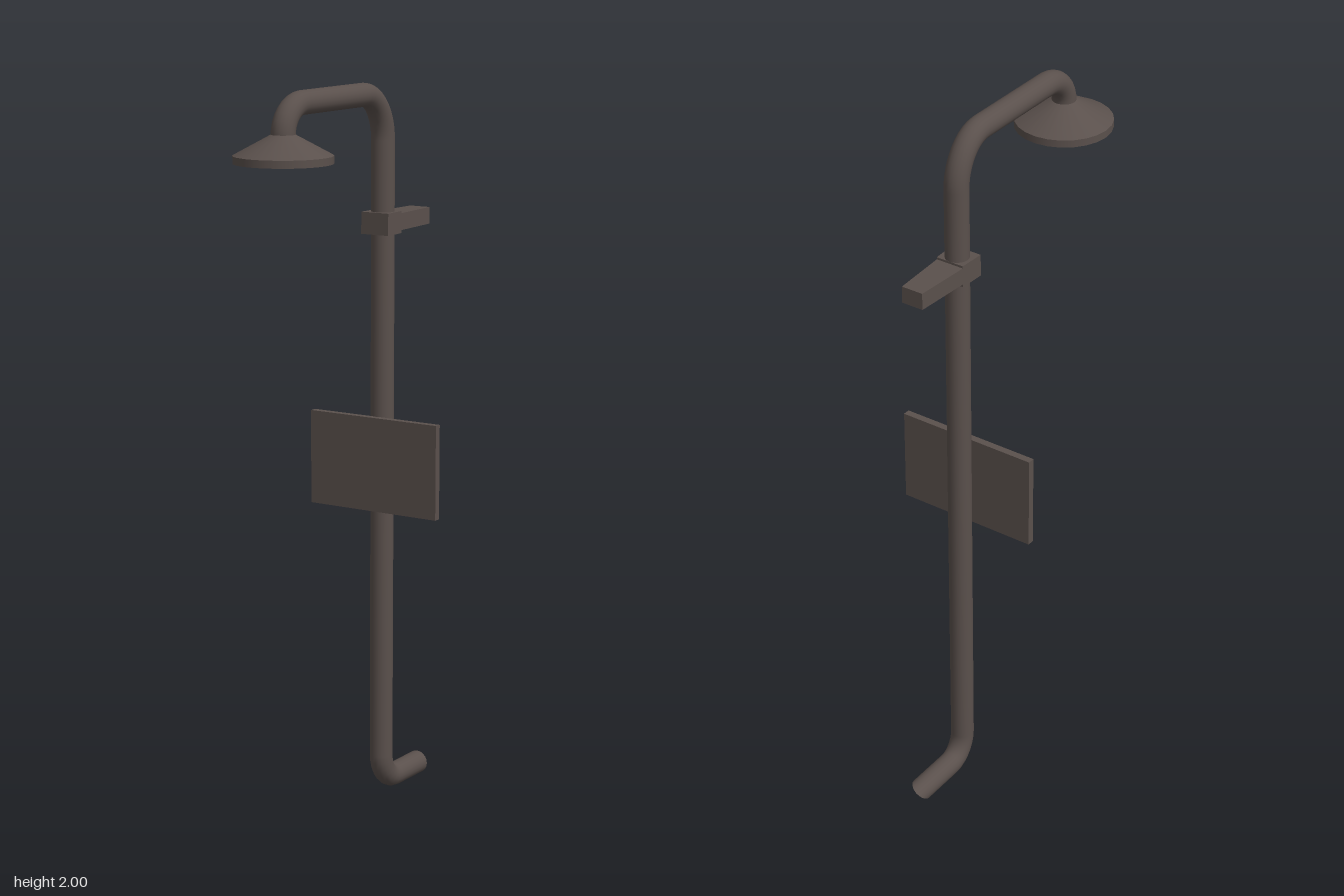
import * as THREE from 'three';

export function createModel() {
  const group = new THREE.Group();
  const bronze = new THREE.MeshStandardMaterial({ color: 0x5a504c });
  bronze.name = 'dark bronze';
  bronze.side = THREE.DoubleSide; // the pipe is open at its lower end

  const add = (name, geometry, x = 0, y = 0, z = 0) => {
    const mesh = new THREE.Mesh(geometry, bronze);
    mesh.name = name;
    mesh.position.set(x, y, z);
    group.add(mesh);
    return mesh;
  };

  // Riser pipe: wall inlet, column, top arm and drop to the head, as [y, z] points
  const p = (y, z) => new THREE.Vector3(0, y, z);
  const path = new THREE.CurvePath();
  const line = (a, b) => path.add(new THREE.LineCurve3(p(...a), p(...b)));
  const bend = (a, corner, b) => {
    const from = p(...a), c = p(...corner), to = p(...b);
    path.add(new THREE.CubicBezierCurve3(
      from, from.clone().lerp(c, 0.55), to.clone().lerp(c, 0.55), to));
  };
  line([0.036, -0.4], [0.036, -0.27]);
  bend([0.036, -0.27], [0.036, -0.204], [0.115, -0.204]);
  line([0.115, -0.204], [1.84, -0.204]);
  bend([1.84, -0.204], [1.968, -0.204], [1.968, -0.1]);
  line([1.968, -0.1], [1.968, 0.185]);
  bend([1.968, 0.185], [1.968, 0.27], [1.89, 0.27]);
  line([1.89, 0.27], [1.87, 0.27]);
  add('pipe', new THREE.TubeGeometry(path, 160, 0.032, 20, false));

  // Shower head: cone on a thin rim with a flat underside
  const headPart = (name, top, bottom, y0, y1, open) => add(name,
    new THREE.CylinderGeometry(top, bottom, y1 - y0, 24, 1, open), 0, (y0 + y1) / 2, 0.27);
  headPart('showerHeadCone', 0.032, 0.13, 1.84, 1.893, true);
  headPart('showerHeadRim', 0.13, 0.13, 1.82, 1.84, false);

  // Control plate in front of the column
  add('controlPlate', new THREE.BoxGeometry(0.404, 0.262, 0.02), 0, 0.957, -0.165);

  // Wall bracket: collar and arm, both narrowing towards the wall
  const taperedBox = (name, wFront, wBack, height, zFront, zBack, y) => {
    const s = new THREE.Shape([
      new THREE.Vector2(-wFront, -zFront), new THREE.Vector2(wFront, -zFront),
      new THREE.Vector2(wBack, -zBack), new THREE.Vector2(-wBack, -zBack),
    ]);
    const g = new THREE.ExtrudeGeometry(s, { depth: height, bevelEnabled: false });
    g.rotateX(-Math.PI / 2);
    add(name, g, 0, y, 0);
  };
  taperedBox('bracketCollar', 0.043, 0.04, 0.06, -0.163, -0.236, 1.589);
  taperedBox('bracketArm', 0.04, 0.031, 0.046, -0.236, -0.394, 1.597);

  return group;
}
